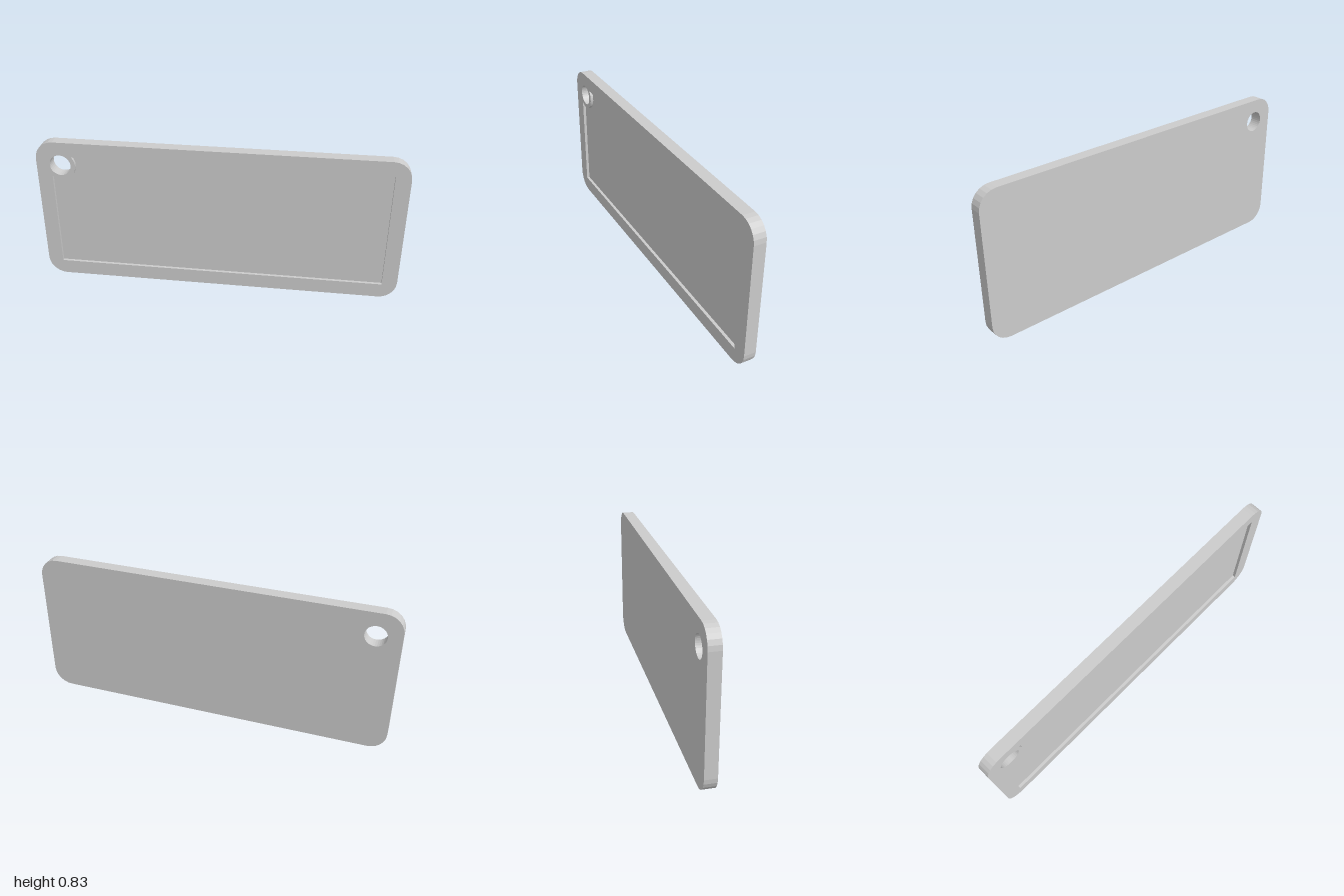
import * as THREE from 'three';

const W = 2, H = 0.833, FRONT = 0.033, BACK = -0.033, FLOOR = 0.0165;
const HOLE = { x: -0.867, y: 0.7, r: 0.0585 };

// points on an arc, angles in degrees
function arc(cx, cy, r, from, to, segments) {
  return Array.from({ length: segments + 1 }, (_, i) => {
    const a = THREE.MathUtils.degToRad(from + (to - from) * i / segments);
    return new THREE.Vector2(cx + r * Math.cos(a), cy + r * Math.sin(a));
  });
}

// flat face at depth z, with optional holes, facing front or back
function face(outline, holes, z, facesBack = false) {
  const shape = new THREE.Shape(outline);
  shape.holes = holes.map((h) => new THREE.Path(h));
  const geometry = new THREE.ShapeGeometry(shape).translate(0, 0, z);
  if (facesBack) {
    geometry.index.array.reverse();
    geometry.computeVertexNormals();
  }
  return geometry;
}

// closed band along an outline; counter-clockwise outlines face outward
function wall(outline, z0, z1) {
  const positions = [];
  outline.forEach((a, i) => {
    const b = outline[(i + 1) % outline.length];
    positions.push(a.x, a.y, z0, b.x, b.y, z0, b.x, b.y, z1);
    positions.push(a.x, a.y, z0, b.x, b.y, z1, a.x, a.y, z1);
  });
  const geometry = new THREE.BufferGeometry();
  geometry.setAttribute('position', new THREE.Float32BufferAttribute(positions, 3));
  geometry.computeVertexNormals();
  return geometry;
}

export function createModel() {
  const group = new THREE.Group();
  group.name = 'keyTag';
  const material = new THREE.MeshStandardMaterial({ color: 0xcccccc, flatShading: true });
  const add = (name, geometry) => {
    const mesh = new THREE.Mesh(geometry, material);
    mesh.name = name;
    group.add(mesh);
  };

  // rounded plate outline
  const r = 0.1, x = W / 2 - r;
  const outline = [
    ...arc(x, r, r, -90, 0, 6),
    ...arc(x, H - r, r, 0, 90, 6),
    ...arc(-x, H - r, r, 90, 180, 6),
    ...arc(-x, r, r, 180, 270, 6),
  ];

  // ring hole
  const hole = arc(HOLE.x, HOLE.y, HOLE.r, 0, 360, 32).slice(0, -1);

  // sharp-cornered recess, cut away around the ring hole
  const recess = [
    new THREE.Vector2(-0.917, 0.083),
    new THREE.Vector2(0.917, 0.083),
    new THREE.Vector2(0.917, 0.75),
    ...arc(HOLE.x, HOLE.y, 0.0833, 36.87, -126.87, 16),
  ];

  add('backFace', face(outline, [hole], BACK, true));
  add('outerEdge', wall(outline, BACK, FRONT));
  add('raisedRim', face(outline, [recess, hole], FRONT));
  add('recessFloor', face(recess, [], FLOOR));
  add('recessWall', wall([...recess].reverse(), FLOOR, FRONT));
  add('ringHole', wall([...hole].reverse(), BACK, FRONT));
  return group;
}
